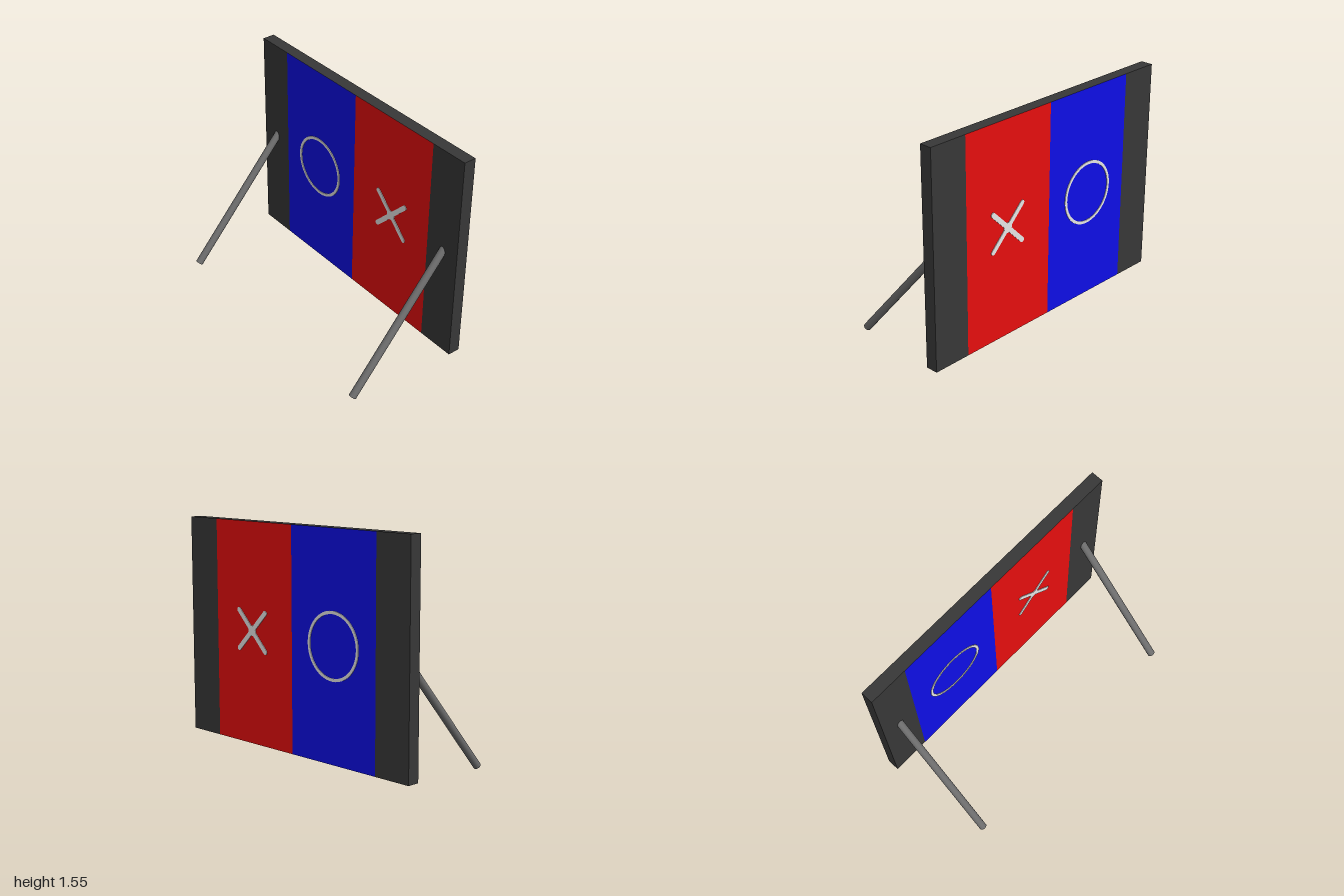
import * as THREE from 'three';

const mat = (name, color) => {
  const m = new THREE.MeshStandardMaterial({ color });
  m.name = name;
  return m;
};

export function createModel() {
  const dark = mat('charcoal', 0x383838);
  const grey = mat('legGrey', 0x6c6c6c);
  const blue = mat('blue', 0x0f0ff0);
  const red = mat('red', 0xf00f0f);
  const white = mat('white', 0xf0f0f0);

  const model = new THREE.Group();
  model.name = 'gameBoard';
  const add = (name, geometry, material, parent = model) => {
    const mesh = new THREE.Mesh(geometry, material);
    mesh.name = name;
    parent.add(mesh);
    return mesh;
  };

  // Board: two dark ends and two coloured panels whose top edge stays dark
  const y0 = 0.08, y1 = 1.555, zBack = -0.405, zFront = -0.32;
  const slab = (name, x0, x1, material) => {
    const mesh = add(name, new THREE.BoxGeometry(x1 - x0, y1 - y0, zFront - zBack), material);
    mesh.position.set((x0 + x1) / 2, (y0 + y1) / 2, (zFront + zBack) / 2);
  };
  const panel = (c) => [c, c, dark, c, c, c];
  slab('rightEnd', -1, -0.73, dark);
  slab('bluePanel', -0.73, 0, panel(blue));
  slab('redPanel', 0, 0.73, panel(red));
  slab('leftEnd', 0.73, 1, dark);

  // Ring and cross outlines
  const ring = new THREE.Shape().absarc(0, 0, 0.22, 0, Math.PI * 2);
  ring.holes.push(new THREE.Path().absarc(0, 0, 0.2, 0, Math.PI * 2, true));
  const arm = new THREE.Shape();
  arm.absarc(0.18, 0, 0.017, -Math.PI / 2, Math.PI / 2);
  arm.absarc(-0.18, 0, 0.017, Math.PI / 2, Math.PI * 1.5);
  const hub = new THREE.Shape().absarc(0, 0, 0.034, 0, Math.PI * 2);
  const plate = (shape) =>
    new THREE.ExtrudeGeometry(shape, { depth: 0.004, bevelEnabled: false, curveSegments: 24 });

  // The same symbols lie on both faces
  for (const [side, z] of [['front', zFront], ['back', zBack - 0.004]]) {
    add(side + 'Ring', plate(ring), white).position.set(-0.37, 0.83, z);
    const cross = new THREE.Group();
    cross.name = side + 'Cross';
    cross.position.set(0.38, 0.84, z);
    for (const s of [1, -1]) add('crossArm', plate(arm), white, cross).rotation.z = s * Math.PI / 4;
    add('crossHub', plate(hub), white, cross);
    model.add(cross);
  }

  // Slanted round legs, leaning back into the board
  for (const s of [-1, 1]) {
    const foot = new THREE.Vector3(s * 0.877, 0.022, 0.386);
    const head = new THREE.Vector3(s * 0.867, 0.87, -0.35);
    const dir = head.clone().sub(foot);
    const leg = add(s > 0 ? 'leftLeg' : 'rightLeg',
      new THREE.CylinderGeometry(0.026, 0.026, dir.length(), 16), grey);
    leg.position.copy(foot).add(head).multiplyScalar(0.5);
    leg.quaternion.setFromUnitVectors(new THREE.Vector3(0, 1, 0), dir.normalize());
  }
  return model;
}
